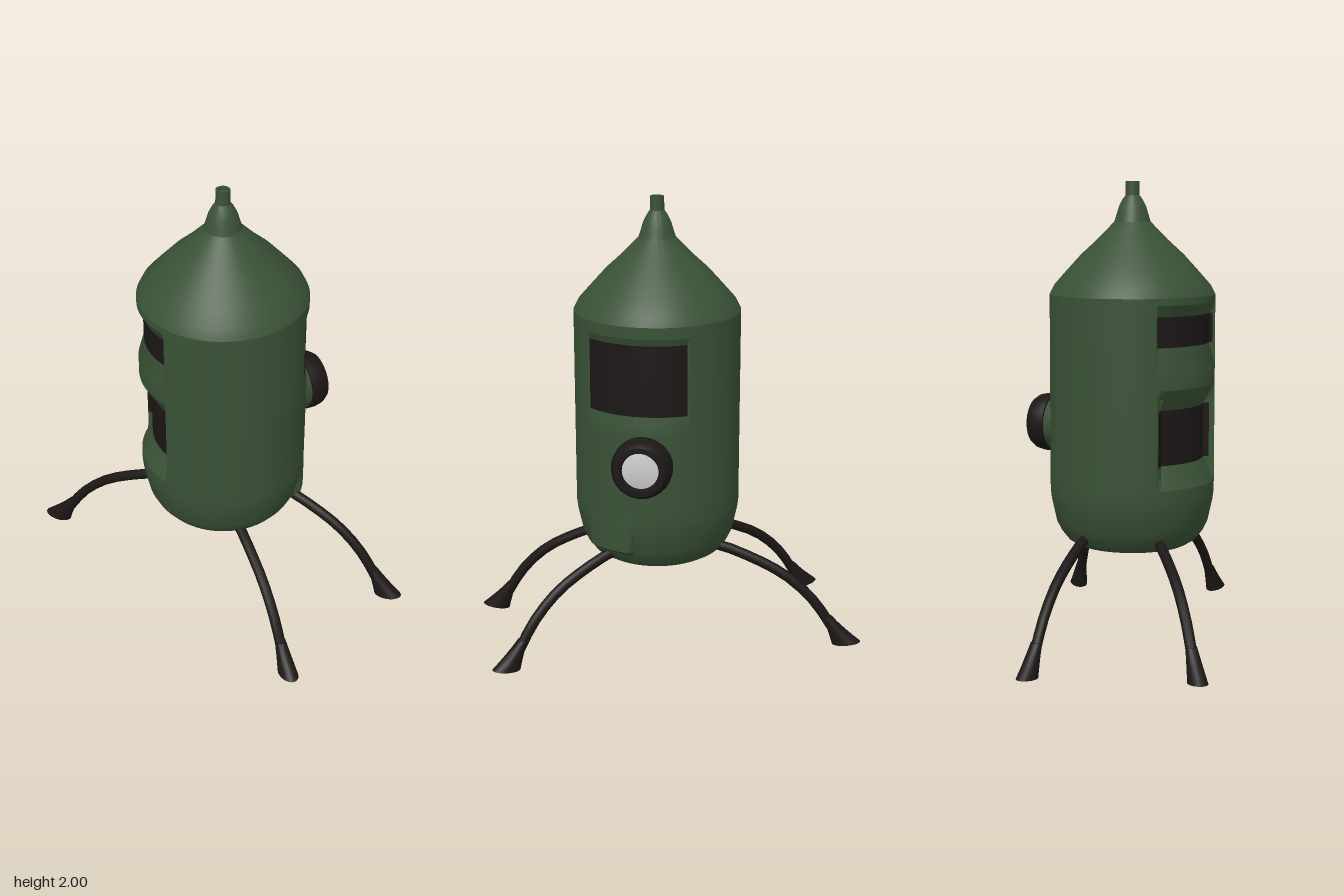
import * as THREE from 'three';
import { toCreasedNormals } from 'three/addons/utils/BufferGeometryUtils.js';

const paint = (color) => new THREE.MeshStandardMaterial({ color, side: THREE.DoubleSide });
const green = paint(0x3a5236);
const dark = paint(0x1d1717);
const glass = paint(0xcccccc);
const RAD = Math.PI / 180;

// Body outline: [radius, height]
const PROFILE = [
  [0.25, 0.4], [0.288, 0.422], [0.318, 0.46], [0.338, 0.5], [0.36, 0.6], [0.365, 0.64],
  [0.365, 1.51], [0.345, 1.55], [0.292, 1.61], [0.225, 1.684], [0.157, 1.746],
  [0.08, 1.825], [0.072, 1.85], [0.06, 1.89], [0.045, 1.92], [0.031, 1.94], [0.03, 2],
];

// Recesses: outer rim and inner floor ranges; angles run from +z towards +x
const UPPER = { a: [-68, -66, 0, 2], y: [1.2, 1.3, 1.43, 1.48], depth: 0.028 };
const LOWER = { a: [-67, -61, 0, 2], y: [0.69, 0.79, 1.03, 1.12], depth: 0.052 };
const REAR = { a: [115, 116, 191, 192], y: [1.08, 1.12, 1.43, 1.46], depth: 0.012 };
const SKIRT = { a: [113, 117, 150, 153], y: [0.47, 0.5, 0.62, 0.64] };
const AREAS = [UPPER, LOWER, REAR, SKIRT];

const clamp01 = (v) => Math.min(1, Math.max(0, v));
const ramp = (v, [o0, i0, i1, o1]) => clamp01(Math.min((v - o0) / (i0 - o0), (o1 - v) / (o1 - i1)));
const inside = (area, a, y) => Math.min(ramp(a, area.a), ramp(y, area.y));

function radiusAt(a, y) {
  let k = 1;
  while (k < PROFILE.length - 1 && PROFILE[k][1] < y) k++;
  const [r0, y0] = PROFILE[k - 1], [r1, y1] = PROFILE[k];
  let r = THREE.MathUtils.lerp(r0, r1, clamp01((y - y0) / (y1 - y0)));
  r = THREE.MathUtils.lerp(r, Math.max(r, 0.366), inside(SKIRT, a, y));
  for (const p of [UPPER, LOWER, REAR]) r -= p.depth * inside(p, a, y);
  return r;
}

// A piece of the body's skin between two angles and two heights
function skin(a0, a1, y0, y1, lift = 0) {
  const pick = (list, lo, hi) => [...new Set([...list, lo, hi])].filter((v) => v >= lo && v <= hi).sort((p, q) => p - q);
  const steps = Array.from({ length: 73 }, (_, i) => -90 + i * 5);
  const as = pick([...steps, ...AREAS.flatMap((p) => p.a)], a0, a1);
  const ys = pick([...PROFILE.map((p) => p[1]), ...AREAS.flatMap((p) => p.y)], y0, y1);
  const pos = [], index = [], n = as.length;
  for (const y of ys) for (const a of as) {
    const r = radiusAt(a, y) + lift;
    pos.push(r * Math.sin(a * RAD), y, r * Math.cos(a * RAD));
  }
  for (let j = 0; j < ys.length - 1; j++) for (let i = 0; i < n - 1; i++) {
    const p = j * n + i;
    index.push(p, p + 1, p + n + 1, p, p + n + 1, p + n);
  }
  const g = new THREE.BufferGeometry();
  g.setAttribute('position', new THREE.Float32BufferAttribute(pos, 3));
  g.setIndex(index);
  return toCreasedNormals(g, 0.35);
}

function add(parent, name, geometry, material) {
  const mesh = new THREE.Mesh(geometry, material);
  mesh.name = name;
  parent.add(mesh);
  return mesh;
}

function lathe(points, segments = 48) {
  const g = new THREE.LatheGeometry(points.map(([r, y]) => new THREE.Vector2(r, y)), segments);
  return toCreasedNormals(g, 0.5);
}

function makeLeg(hip, foot) {
  const leg = new THREE.Group();
  const at = (t, y) => new THREE.Vector3(hip[0] + (foot[0] - hip[0]) * t, y, hip[1] + (foot[1] - hip[1]) * t);
  const path = new THREE.CurvePath();
  const pts = [at(-0.05, 0.46), at(0.1, 0.435), at(0.5, 0.325), at(0.74, 0.2), at(0.87, 0.09)];
  const curve = new THREE.CatmullRomCurve3(pts, false, 'centripetal');
  add(leg, 'strut', new THREE.TubeGeometry(curve, 9, 0.023, 10), dark);

  // Foot: a round top flaring and leaning out to an oval sole
  const g = new THREE.CylinderGeometry(1, 1, 1, 20, 4);
  const dir = at(1, 0).sub(at(0, 0)).normalize();
  const p = g.attributes.position;
  for (let i = 0; i < p.count; i++) {
    const s = 0.5 - p.getY(i);
    const c = at(0.84 + 0.16 * s, 0.13 - 0.125 * s);
    const along = p.getX(i) * (0.024 + 0.04 * s ** 1.3);
    const across = p.getZ(i) * (0.024 + 0.016 * s);
    p.setXYZ(i, c.x + dir.x * along - dir.z * across, c.y + along * 0.12 * s, c.z + dir.z * along + dir.x * across);
  }
  g.computeVertexNormals();
  add(leg, 'foot', toCreasedNormals(g, 0.8), dark);
  return leg;
}

export function createModel() {
  const model = new THREE.Group();
  const body = new THREE.Group();
  body.name = 'body';
  body.position.set(0.035, 0, 0.05);
  model.add(body);

  // Shell with dark windows laid on the recess floors
  add(body, 'shell', skin(-90, 270, 0.4, 2), green);
  add(body, 'upperWindow', skin(-66, 1, 1.3, 1.43, 0.002), dark);
  add(body, 'lowerWindow', skin(-66.5, 1, 0.79, 1.03, 0.002), dark);
  add(body, 'rearWindow', skin(116, 191, 1.12, 1.43, 0.002), dark);
  add(body, 'tipCap', lathe([[0.03, 2], [0.022, 2], [0.022, 1.985], [0, 1.985]], 24), green);

  // Hollow underside with a ring of ribs
  add(body, 'baseCavity', lathe([[0.25, 0.4], [0.235, 0.402], [0.225, 0.44], [0.2, 0.5], [0, 0.5]]), green);
  const ribs = new THREE.Group();
  ribs.name = 'baseRibs';
  body.add(ribs);
  for (let i = 0; i < 40; i++) {
    const a = (i / 40) * Math.PI * 2;
    const rib = add(ribs, 'rib', new THREE.BoxGeometry(0.014, 0.06, 0.02), green);
    rib.position.set(0.213 * Math.sin(a), 0.465, 0.213 * Math.cos(a));
    rib.rotation.y = a;
  }

  // Eyepiece on the back
  const eyepiece = new THREE.Group();
  eyepiece.name = 'eyepiece';
  eyepiece.position.y = 0.915;
  eyepiece.rotation.set(Math.PI / 2, 0, Math.PI - 19 * RAD, 'YXZ');
  eyepiece.rotation.set(Math.PI / 2, Math.PI - 19 * RAD, 0, 'YXZ');
  body.add(eyepiece);
  add(eyepiece, 'mount', lathe([[0.122, 0.3], [0.122, 0.385], [0.115, 0.4]]), green);
  add(eyepiece, 'ring', lathe([[0.11, 0.385], [0.13, 0.388], [0.131, 0.42], [0.124, 0.455], [0.108, 0.478], [0.085, 0.478], [0.078, 0.455]]), dark);
  add(eyepiece, 'lens', lathe([[0.082, 0.455], [0.05, 0.462], [0, 0.465]]), glass);

  // Four splayed legs
  const legs = [
    ['frontLeftLeg', [0.27, 0.2], [0.76, 0.395]],
    ['frontRightLeg', [-0.22, 0.19], [-0.76, 0.395]],
    ['backLeftLeg', [0.27, -0.125], [0.765, -0.295]],
    ['backRightLeg', [-0.22, -0.135], [-0.77, -0.295]],
  ];
  for (const [name, hip, foot] of legs) {
    const leg = makeLeg(hip, foot);
    leg.name = name;
    model.add(leg);
  }
  return model;
}
